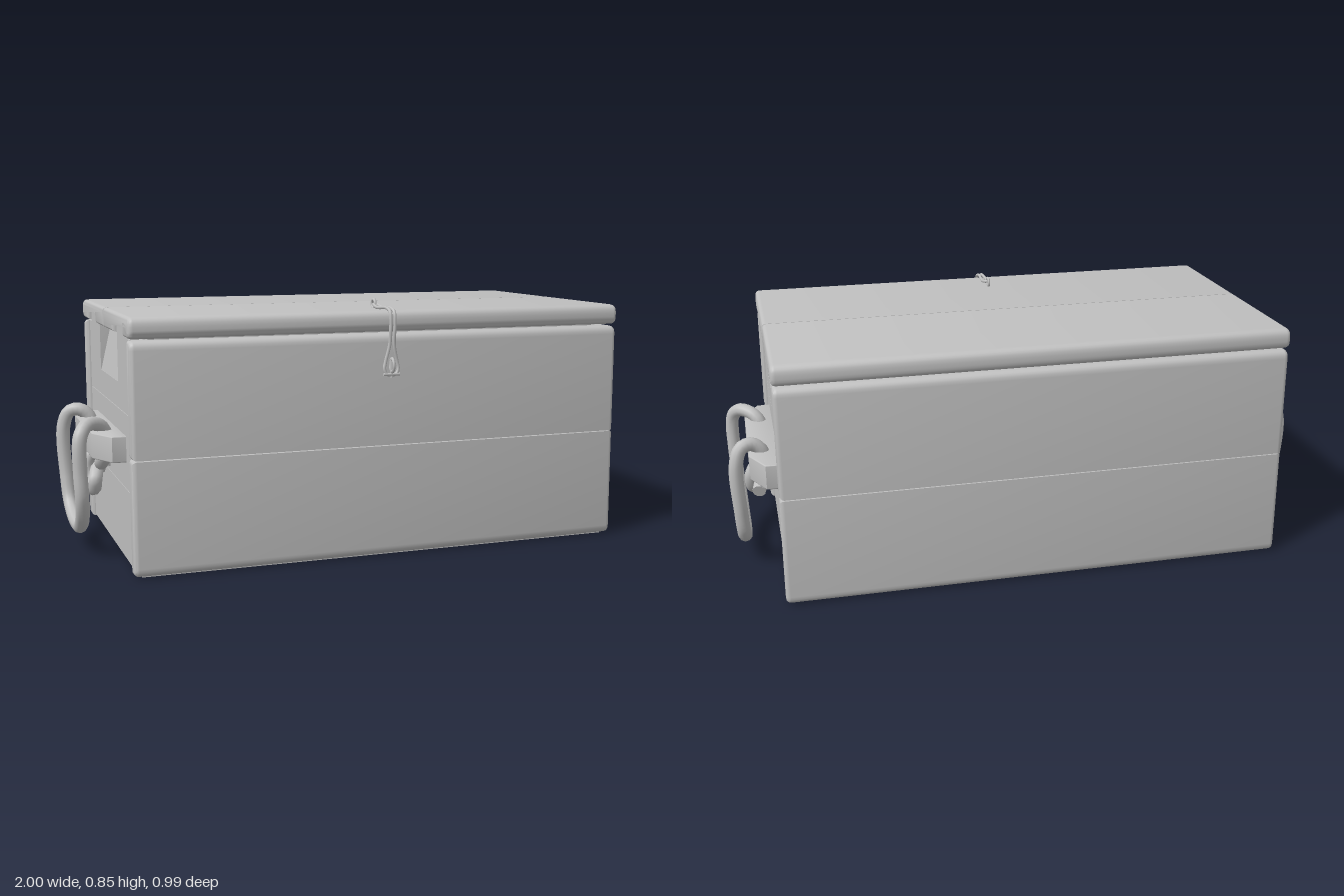
import * as THREE from 'three';
import { toCreasedNormals } from 'three/addons/utils/BufferGeometryUtils.js';

const grey = new THREE.MeshStandardMaterial({ color: 0xc0c0c0 });
grey.name = 'plain grey';

// Closed outline from [a, b, cornerRadius] points
function outline(points) {
  const shape = new THREE.Shape();
  const n = points.length;
  points.forEach(([x, y, r = 0], i) => {
    const toward = ([px, py]) => {
      const d = Math.hypot(px - x, py - y);
      return [x + ((px - x) * r) / d, y + ((py - y) * r) / d];
    };
    const a = toward(points[(i + n - 1) % n]);
    const b = toward(points[(i + 1) % n]);
    if (i === 0) shape.moveTo(...a);
    else shape.lineTo(...a);
    if (r) shape.quadraticCurveTo(x, y, ...b);
  });
  return shape;
}

function add(parent, name, geometry) {
  const mesh = new THREE.Mesh(geometry, grey);
  mesh.name = name;
  parent.add(mesh);
  return mesh;
}

function extrude(points, length, bevel) {
  const g = new THREE.ExtrudeGeometry(outline(points), {
    depth: length - 2 * bevel, curveSegments: 5, bevelEnabled: bevel > 0,
    bevelThickness: bevel, bevelSize: bevel, bevelOffset: -bevel, bevelSegments: 4,
  });
  g.translate(0, 0, bevel - length / 2);
  return toCreasedNormals(g, 0.7);
}

// Profile in [z, y], run along x and centred on cx
function alongX(points, length, bevel, cx = 0) {
  return extrude(points, length, bevel).rotateY(-Math.PI / 2).translate(cx, 0, 0);
}

function box(x0, x1, y0, y1, z0, z1) {
  return new THREE.BoxGeometry(Math.abs(x1 - x0), y1 - y0, z1 - z0)
    .translate((x0 + x1) / 2, (y0 + y1) / 2, (z0 + z1) / 2);
}

function tube(points, radius, closed, segments, sides = 10) {
  const curve = new THREE.CatmullRomCurve3(points.map((p) => new THREE.Vector3(...p)), closed);
  return new THREE.TubeGeometry(curve, segments, radius, sides, closed);
}

function buildBody(root) {
  const body = new THREE.Group();
  body.name = 'body';
  root.add(body);
  add(body, 'innerCore', box(-0.785, 0.785, 0.02, 0.76, -0.44, 0.4));
  add(body, 'bottomPanel', box(-0.825, 0.825, 0, 0.05, -0.465, 0.43));
  // Front and back walls, two boards each
  for (const [wall, zin, zout] of [['front', 0.391, 0.455], ['back', -0.431, -0.492]]) {
    add(body, wall + 'LowerBoard', alongX(
      [[zin, 0.004], [zout, 0.004, 0.028], [zout, 0.3735], [zin, 0.3735]], 1.704, 0.015));
    add(body, wall + 'UpperBoard', alongX(
      [[zin, 0.3765], [zout, 0.3765], [zout, 0.745, 0.028], [zin, 0.745]], 1.704, 0.015));
  }
  // End walls, three boards each; the top one has tabs and a sloped grip recess
  for (const s of [1, -1]) {
    add(body, 'endLowerBoard', box(s * 0.775, s * 0.838, 0.01, 0.249, -0.428, 0.388));
    add(body, 'endMiddleBoard', box(s * 0.775, s * 0.838, 0.251, 0.499, -0.428, 0.388));
    add(body, 'endUpperBoard', alongX([
      [0.388, 0.501], [0.388, 0.745], [0.343, 0.745], [0.343, 0.782, 0.012],
      [0.157, 0.782, 0.012], [0.157, 0.588], [-0.197, 0.588], [-0.197, 0.782, 0.012],
      [-0.383, 0.782, 0.012], [-0.383, 0.745], [-0.428, 0.745], [-0.428, 0.501],
    ], 0.063, 0, s * 0.8065));
    add(body, 'gripRecess', extrude(
      [[s * 0.78, 0.587], [s * 0.837, 0.587], [s * 0.795, 0.765], [s * 0.78, 0.765]], 0.354, 0)
      .translate(0, 0, -0.02));
  }
}

function buildLid(root) {
  const lid = new THREE.Group();
  lid.name = 'lid';
  root.add(lid);
  // Each plank is notched over a tab of the end walls
  const planks = [
    ['frontLidPlank', -0.0185, 0.157, 0.348, 0.456],
    ['backLidPlank', -0.0215, -0.197, -0.388, -0.493],
  ];
  for (const [name, seam, n0, n1, edge] of planks) {
    add(lid, name, alongX([
      [seam, 0.751], [n0, 0.751], [n0, 0.787], [n1, 0.787], [n1, 0.751],
      [edge, 0.751, 0.026], [edge, 0.819, 0.03], [seam, 0.819],
    ], 1.71, 0.016));
  }
  add(lid, 'lidCore', box(-0.82, 0.82, 0.788, 0.812, -0.46, 0.42));
}

function buildHandle(root, s) {
  const handle = new THREE.Group();
  handle.name = s > 0 ? 'leftHandle' : 'rightHandle';
  root.add(handle);
  const side = (pts) => pts.map(([x, y, z]) => [s * x, y, z]);
  // Cleat with tapered ends
  const cleat = extrude([
    [s * 0.83, 0.313], [s * 0.883, 0.313], [s * 0.932, 0.215],
    [s * 0.932, -0.175], [s * 0.883, -0.275], [s * 0.83, -0.275],
  ], 0.086, 0.004);
  add(handle, 'handleCleat', cleat.rotateX(-Math.PI / 2).translate(0, 0.383, 0));
  // Rope grip, looped over the cleat and joined below it
  add(handle, 'ropeLoop', tube(side([
    [0.89, 0.31, 0.09], [0.885, 0.345, 0.135], [0.878, 0.41, 0.12], [0.9, 0.443, 0.135],
    [0.945, 0.452, 0.17], [0.972, 0.42, 0.197], [0.976, 0.3, 0.199], [0.971, 0.21, 0.192],
    [0.966, 0.14, 0.145], [0.962, 0.09, 0.06], [0.96, 0.077, -0.03], [0.962, 0.09, -0.11],
    [0.966, 0.13, -0.165], [0.971, 0.21, -0.189], [0.976, 0.39, -0.196], [0.955, 0.445, -0.187],
    [0.92, 0.452, -0.175], [0.885, 0.42, -0.17], [0.885, 0.35, -0.16], [0.888, 0.31, -0.11],
    [0.875, 0.297, -0.02],
  ]), 0.0235, true, 110));
  // Knot with its loose end
  add(handle, 'ropeKnot', tube(side([
    [0.905, 0.245, -0.1], [0.895, 0.262, -0.05], [0.885, 0.275, 0.0], [0.9, 0.275, 0.045],
    [0.91, 0.25, 0.077], [0.912, 0.218, 0.06], [0.918, 0.214, 0.025], [0.925, 0.235, -0.005],
    [0.925, 0.28, -0.025], [0.905, 0.316, -0.025], [0.875, 0.315, -0.005], [0.87, 0.275, 0.01],
  ]), 0.0235, false, 60));
  const tail = add(handle, 'ropeEnd', new THREE.CircleGeometry(0.0235, 10));
  tail.position.set(s * 0.905, 0.245, -0.1);
  tail.lookAt(s * 0.915, 0.228, -0.15);
}

function buildLatch(root) {
  const latch = new THREE.Group();
  latch.name = 'latch';
  root.add(latch);
  // Bent wire hasp: two strands that open into an eye at the bottom
  const path = [
    [0.004, 0.832, 0.318], [0.009, 0.824, 0.36], [0.006, 0.827, 0.44], [0.007, 0.815, 0.472],
    [0.007, 0.77, 0.478], [0.008, 0.71, 0.471], [0.02, 0.655, 0.466], [0.024, 0.63, 0.467],
    [0.015, 0.613, 0.468],
  ];
  const other = path.map(([x, y, z]) => [-x, y, z]).reverse();
  add(latch, 'haspWire', tube([...path, ...other], 0.0055, true, 120, 8));
  // Staples on the lid and the front board
  for (const [name, y, z, r, stretch] of
    [['lidStaple', 0.832, 0.306, 0.015, 1], ['frontStaple', 0.643, 0.474, 0.016, 1.3]]) {
    const ring = add(latch, name, new THREE.TorusGeometry(r, 0.005, 8, 20).rotateY(Math.PI / 2));
    ring.scale.y = stretch;
    ring.position.set(0, y, z);
  }
  // Locking pin
  add(latch, 'lockingPin', new THREE.CylinderGeometry(0.005, 0.005, 0.06, 8).translate(0, 0.632, 0.469));
  add(latch, 'crossPin', new THREE.CylinderGeometry(0.005, 0.005, 0.056, 8)
    .rotateZ(Math.PI / 2).translate(0, 0.613, 0.47));
}

export function createModel() {
  const root = new THREE.Group();
  root.name = 'woodenChest';
  buildBody(root);
  buildLid(root);
  buildHandle(root, 1);
  buildHandle(root, -1);
  buildLatch(root);
  return root;
}
